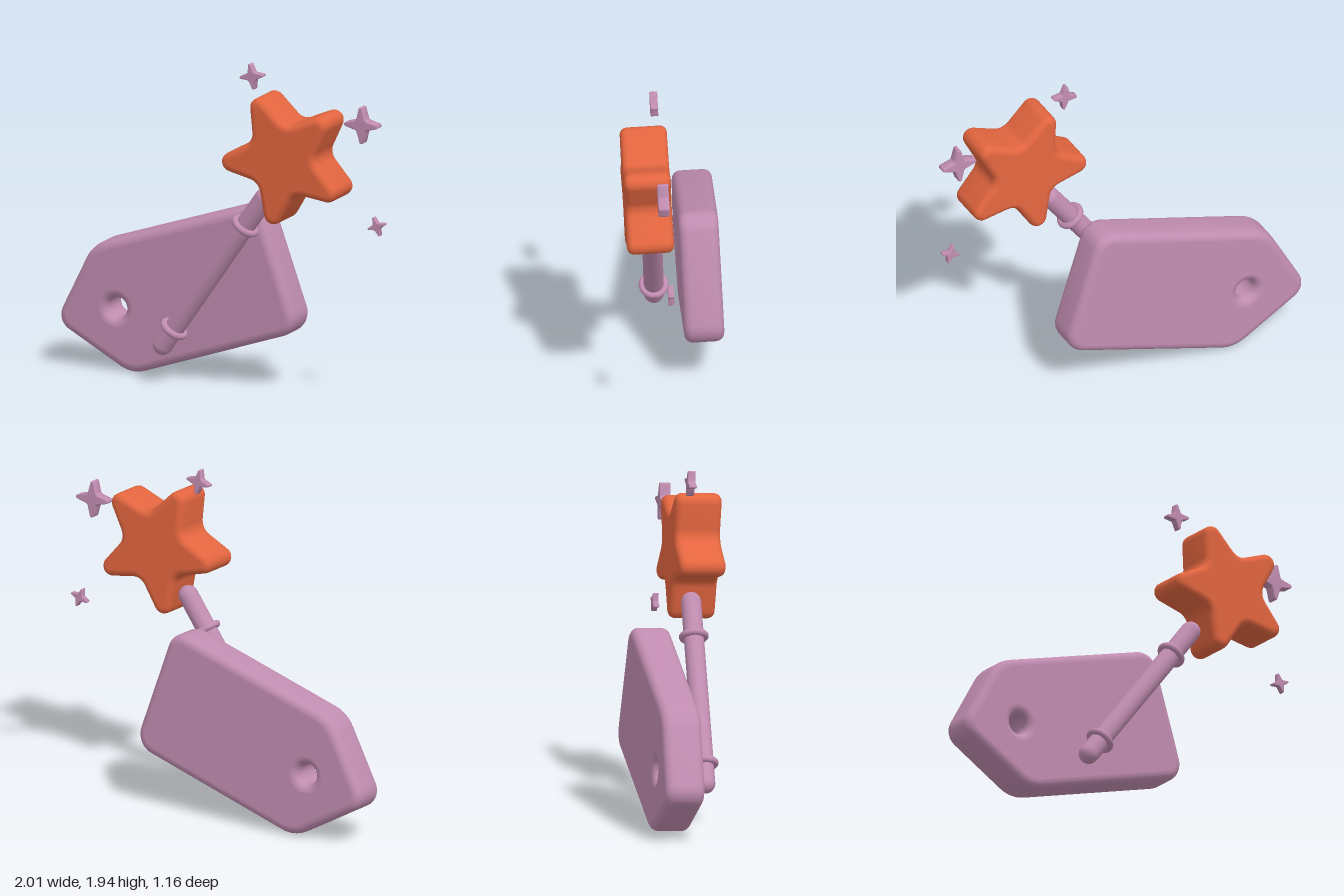
import * as THREE from 'three';
import { toCreasedNormals } from 'three/addons/utils/BufferGeometryUtils.js';

const YAW = -0.325, LEAN = 0.04; // shared tilt of all flat parts

// closed outline with circular corners; each corner is [x, y, radius]
function roundedShape(corners, steps = 8) {
  const n = corners.length, pts = [];
  corners.forEach(([x, y, r], i) => {
    const p = new THREE.Vector2(x, y);
    const prev = corners[(i + n - 1) % n], next = corners[(i + 1) % n];
    const a = new THREE.Vector2(prev[0], prev[1]).sub(p).normalize();
    const b = new THREE.Vector2(next[0], next[1]).sub(p).normalize();
    const half = Math.acos(a.dot(b)) / 2;
    const cut = r / Math.tan(half);
    const c = a.clone().add(b).normalize().multiplyScalar(r / Math.sin(half)).add(p);
    const s = a.multiplyScalar(cut).add(p).sub(c);
    const e = b.multiplyScalar(cut).add(p).sub(c);
    const start = Math.atan2(s.y, s.x);
    const sweep = Math.atan2(s.cross(e), s.dot(e));
    for (let k = 0; k <= steps; k++) {
      const t = start + (sweep * k) / steps;
      pts.push(new THREE.Vector2(c.x + r * Math.cos(t), c.y + r * Math.sin(t)));
    }
  });
  return new THREE.Shape(pts);
}

// star outline with alternating tips and valleys
function starShape(points, outer, inner, tipR, valleyR, angle) {
  const corners = [];
  for (let i = 0; i < points * 2; i++) {
    const t = angle + (i * Math.PI) / points;
    const tip = i % 2 === 0, r = tip ? outer : inner;
    corners.push([r * Math.cos(t), r * Math.sin(t), tip ? tipR : valleyR]);
  }
  return roundedShape(corners);
}

// soft-edged slab centred on z = 0, smooth sides and flat faces
function slab(shape, thickness, bevel) {
  const raw = new THREE.ExtrudeGeometry(shape, {
    depth: thickness - 2 * bevel, bevelEnabled: true, bevelThickness: bevel,
    bevelSize: bevel, bevelOffset: -bevel, bevelSegments: 5, curveSegments: 32,
  });
  raw.translate(0, 0, bevel - thickness / 2);
  const geo = toCreasedNormals(raw, 0.8);
  const pos = geo.attributes.position, nor = geo.attributes.normal;
  for (let i = 0; i < pos.count; i += 3) {
    const side = Math.sign(pos.getZ(i));
    const onFace = [0, 1, 2].every(k => Math.abs(pos.getZ(i + k) * side - thickness / 2) < 1e-5);
    if (onFace) for (let k = 0; k < 3; k++) nor.setXYZ(i + k, 0, 0, side);
  }
  return geo;
}

export function createModel() {
  const model = new THREE.Group();
  const lilac = new THREE.MeshStandardMaterial({ color: 0xc08cb0 });
  lilac.name = 'lilac';
  const orange = new THREE.MeshStandardMaterial({ color: 0xe2653f });
  orange.name = 'orange';

  function add(name, geo, mat, parent = model) {
    const mesh = new THREE.Mesh(geo, mat);
    mesh.name = name;
    parent.add(mesh);
    return mesh;
  }
  function addFlat(name, geo, mat, x, y, z) {
    const mesh = add(name, geo, mat);
    mesh.rotation.set(LEAN, YAW, 0, 'YXZ');
    mesh.position.set(x, y, z);
    return mesh;
  }

  // tag with a round eyelet hole
  const stretch = 1 / Math.cos(YAW);
  const tagShape = roundedShape([
    [-1.02, 0.25, 0.1], [-0.56, -0.022, 0.2], [0.475, 0.34, 0.12],
    [0.24, 1.075, 0.11], [-0.785, 0.725, 0.22],
  ].map(([x, y, r]) => [x * stretch, y, r]));
  const hole = new THREE.Path();
  hole.absarc(-0.64 * stretch, 0.367, 0.06, 0, Math.PI * 2, true);
  tagShape.holes.push(hole);
  addFlat('tag', slab(tagShape, 0.23, 0.05), lilac, 0, 0, -0.16);

  // wand: round-ended rod with two rings
  const foot = new THREE.Vector3(-0.365, 0.215, 0);
  const head = new THREE.Vector3(0.265, 1.155, 0.265);
  const axis = head.clone().sub(foot);
  const length = axis.length();
  const wand = new THREE.Group();
  wand.name = 'wand';
  wand.position.copy(foot);
  wand.quaternion.setFromUnitVectors(new THREE.Vector3(0, 1, 0), axis.normalize());
  model.add(wand);
  add('rod', new THREE.CapsuleGeometry(0.058, length, 8, 32), lilac, wand).position.y = length / 2;
  for (const [name, t] of [['lowerRing', 0.11], ['upperRing', 0.81]]) {
    const ring = add(name, new THREE.TorusGeometry(0.066, 0.02, 12, 40), lilac, wand);
    ring.rotation.x = Math.PI / 2;
    ring.position.y = length * t;
  }

  // large star at the wand's head
  const star = starShape(5, 0.49, 0.207, 0.056, 0.08, THREE.MathUtils.degToRad(115));
  addFlat('star', slab(star, 0.27, 0.04), orange, 0.427, 1.422, 0.357);

  // small four-pointed sparkles: x, y, z, size, turn in degrees
  [[0.19, 1.858, 0.22, 0.7, 9], [0.86, 1.64, 0.425, 1, 0], [0.94, 1.043, 0.41, 0.53, 20]]
    .forEach(([x, y, z, s, turn], i) => {
      const shape = starShape(4, 0.142 * s, 0.043 * s, 0.012 * s, 0.02 * s,
        THREE.MathUtils.degToRad(turn));
      addFlat('sparkle' + (i + 1), slab(shape, 0.065 * s, 0.008 * s), lilac, x, y, z);
    });

  return model;
}
